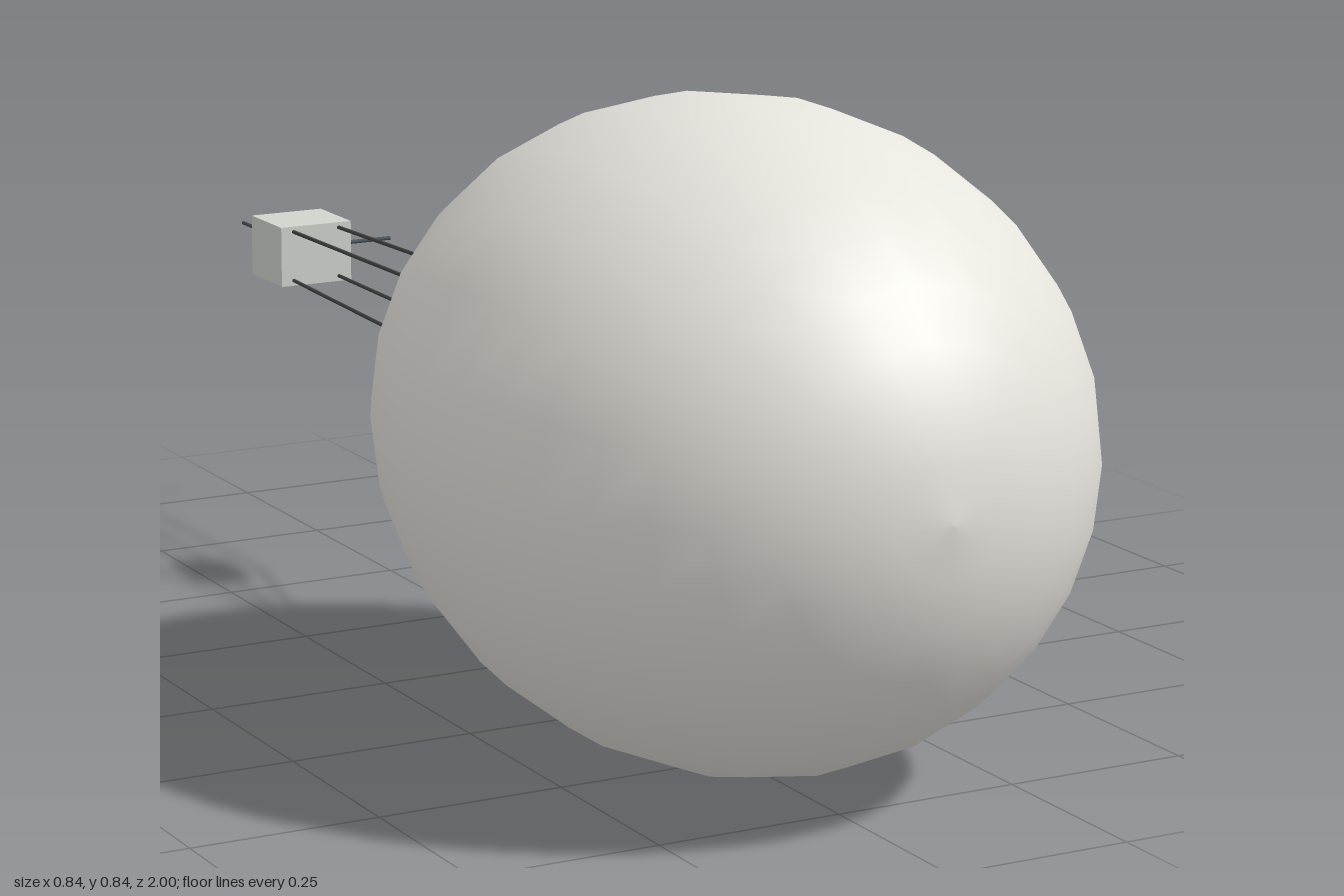
import * as THREE from 'three';

const CY = 0.425; // height of the long axis

function mesh(name, geometry, color, side = THREE.FrontSide) {
  const m = new THREE.Mesh(geometry, new THREE.MeshStandardMaterial({ color, side }));
  m.name = name;
  return m;
}

// Thin straight rod between two points
function rod(name, a, b, radius, color) {
  const dir = b.clone().sub(a);
  const m = mesh(name, new THREE.CylinderGeometry(radius, radius, dir.length(), 6), color);
  m.position.copy(a).add(b).multiplyScalar(0.5);
  m.quaternion.setFromUnitVectors(new THREE.Vector3(0, 1, 0), dir.normalize());
  return m;
}

export function createModel() {
  const group = new THREE.Group();
  const v = (x, y, z) => new THREE.Vector3(x, CY + y, z);

  // Egg-shaped envelope, slightly narrower towards the rear
  const profile = [];
  const rings = 20;
  for (let i = 0; i <= rings; i++) {
    const t = Math.PI * (1 - i / rings);
    const r = i === 0 || i === rings ? 0 : 0.421 * Math.sin(t) * (1 + 0.07 * Math.cos(t));
    profile.push(new THREE.Vector2(r, 0.448 + 0.55 * Math.cos(t)));
  }
  const envelope = mesh('envelope', new THREE.LatheGeometry(profile, 24).rotateX(Math.PI / 2), 0xe6e4dd);
  envelope.position.y = CY;
  group.add(envelope);

  // Four cords: spread out from the envelope, then run back to the box
  const cords = new THREE.Group();
  cords.name = 'cords';
  for (const sx of [-1, 1]) {
    for (const sy of [-1, 1]) {
      const stations = [[0.011, -0.095], [0.043, -0.35], [0.036, -0.76]];
      const points = stations.map(([d, z]) => v(sx * d, sy * d, z));
      for (let i = 0; i < 2; i++) cords.add(rod('cord', points[i], points[i + 1], 0.003, 0x444444));
    }
  }
  group.add(cords);

  // Burner-like canister between the cords
  const canister = mesh('canister', new THREE.CylinderGeometry(0.035, 0.035, 0.09, 12).rotateX(Math.PI / 2), 0xd08a4a);
  canister.position.set(0, CY, -0.35);
  group.add(canister);

  // Instrument box with two aerials
  const box = mesh('instrumentBox', new THREE.BoxGeometry(0.112, 0.088, 0.104), 0xd0d4cc);
  box.position.set(0, CY, -0.792);
  group.add(box);
  group.add(rod('rearAerial', v(0, 0, -0.84), v(0, 0, -1), 0.003, 0x44525a));
  group.add(rod('sideAerial', v(0.05, 0, -0.795), v(0.146, 0, -0.795), 0.003, 0x44525a));

  return group;
}
